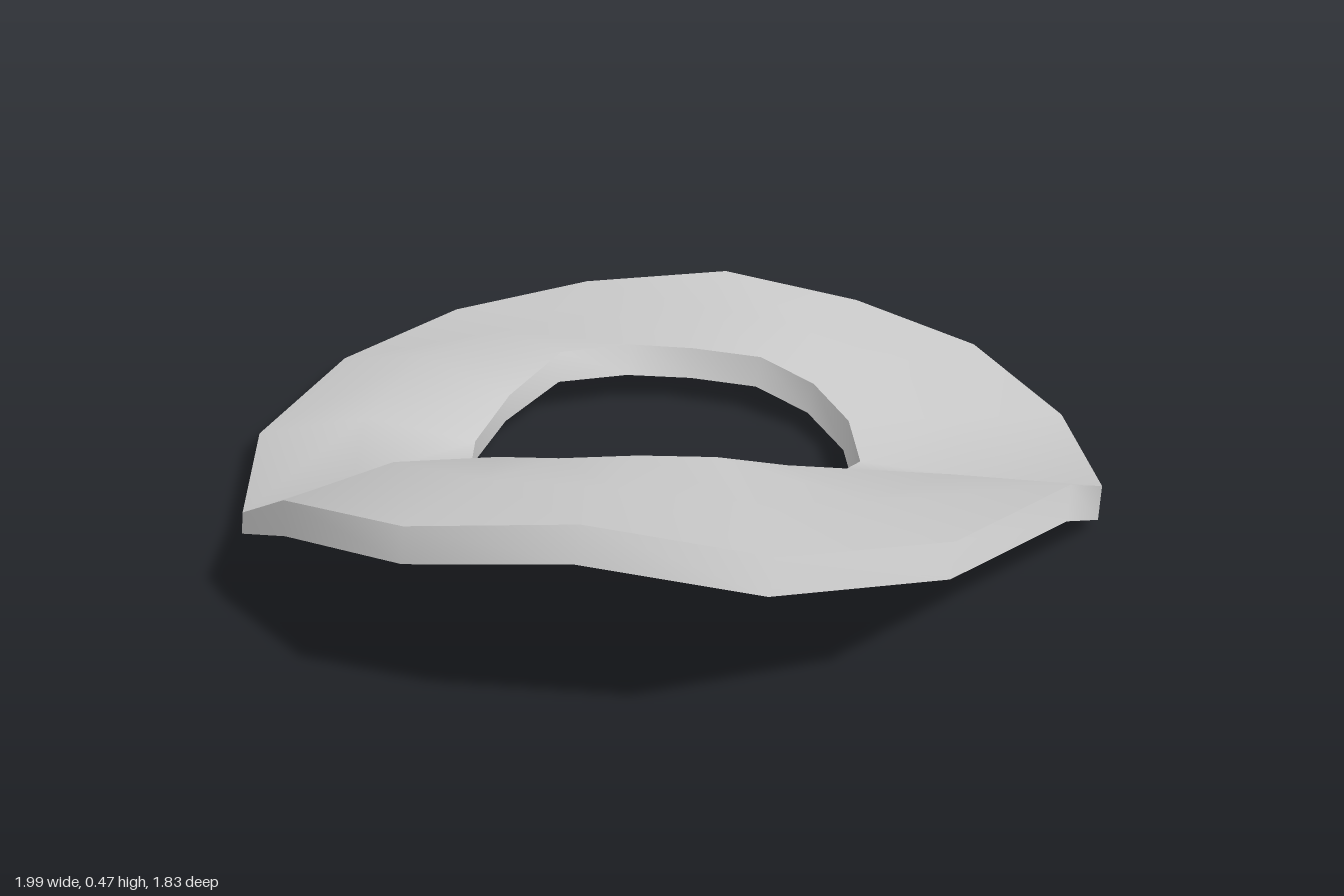
import * as THREE from 'three';

const THICKNESS = 0.065;

// Rim and hole edge of the upper face, 16 points each: x, y, z
const RIM = [
  [-0.985, 0.06, -0.21], [-0.94, 0.28, 0.09], [-0.77, 0.39, 0.43], [-0.48, 0.47, 0.67],
  [-0.14, 0.41, 0.85], [0.25, 0.35, 0.88], [0.62, 0.3, 0.75], [0.88, 0.085, 0.54],
  [1.0, 0.05, 0.2], [0.97, 0.06, -0.17], [0.79, 0.07, -0.49], [0.5, 0.11, -0.72],
  [0.15, 0.07, -0.89], [-0.23, 0.06, -0.905], [-0.58, 0.06, -0.78], [-0.87, 0.06, -0.52],
];
const HOLE = [
  [-0.47, 0.07, -0.1], [-0.42, 0.185, -0.01], [-0.32, 0.235, 0.12], [-0.17, 0.27, 0.23],
  [-0.01, 0.265, 0.3], [0.15, 0.22, 0.335], [0.3, 0.15, 0.32], [0.41, 0.085, 0.22],
  [0.465, 0.09, 0.06], [0.45, 0.11, -0.1], [0.37, 0.13, -0.24], [0.23, 0.13, -0.35],
  [0.08, 0.14, -0.42], [-0.1, 0.15, -0.44], [-0.27, 0.11, -0.36], [-0.4, 0.075, -0.25],
];
// Heights where the middle ring bulges or dips, by point number
const BULGE = { 0: 0.125, 1: 0.275, 2: 0.34, 6: 0.235, 7: 0.07, 14: 0.147, 15: 0.125 };

// Closed band of quads joining successive rings of points
function band(rings) {
  const n = rings[0].length;
  const index = [];
  for (let r = 0; r < rings.length - 1; r++) {
    for (let i = 0; i < n; i++) {
      const j = (i + 1) % n;
      const a = r * n + i, b = r * n + j;
      index.push(a, b, a + n, b, b + n, a + n);
    }
  }
  const geometry = new THREE.BufferGeometry();
  geometry.setAttribute('position', new THREE.Float32BufferAttribute(rings.flat().flatMap((p) => p.toArray()), 3));
  geometry.setIndex(index);
  geometry.computeVertexNormals();
  return geometry;
}

export function createModel() {
  const group = new THREE.Group();
  group.name = 'warpedRing';
  const material = new THREE.MeshStandardMaterial({ color: 0xcccccc });
  const add = (name, geometry) => {
    const mesh = new THREE.Mesh(geometry, material);
    mesh.name = name;
    group.add(mesh);
  };

  // Upper face: rim, middle and hole rings
  const rim = RIM.map((p) => new THREE.Vector3(...p));
  const hole = HOLE.map((p) => new THREE.Vector3(...p));
  const middle = rim.map((p, i) => {
    const m = p.clone().lerp(hole[i], 0.5);
    if (i in BULGE) m.y = BULGE[i];
    return m;
  });
  const top = [rim, middle, hole];
  const topGeometry = band(top);
  add('upperFace', topGeometry);

  // Lower face: the upper one pushed along its normals, resting on the ground;
  // the rim wall flares outwards and the hole wall leans forwards
  const normals = topGeometry.attributes.normal;
  const bottom = top.map((ring, r) => ring.map((p, i) => {
    const normal = new THREE.Vector3().fromBufferAttribute(normals, r * ring.length + i);
    const q = p.clone().addScaledVector(normal, -THICKNESS);
    q.x -= 0.02;
    q.y = Math.max(q.y, 0);
    q.z += r === 0 ? 0.02 * Math.sign(p.z) : 0.03;
    return q;
  }));
  add('lowerFace', band([bottom[2], bottom[1], bottom[0]]));

  // Edge walls
  add('outerEdge', band([bottom[0], top[0]]));
  add('innerEdge', band([top[2], bottom[2]]));

  return group;
}
